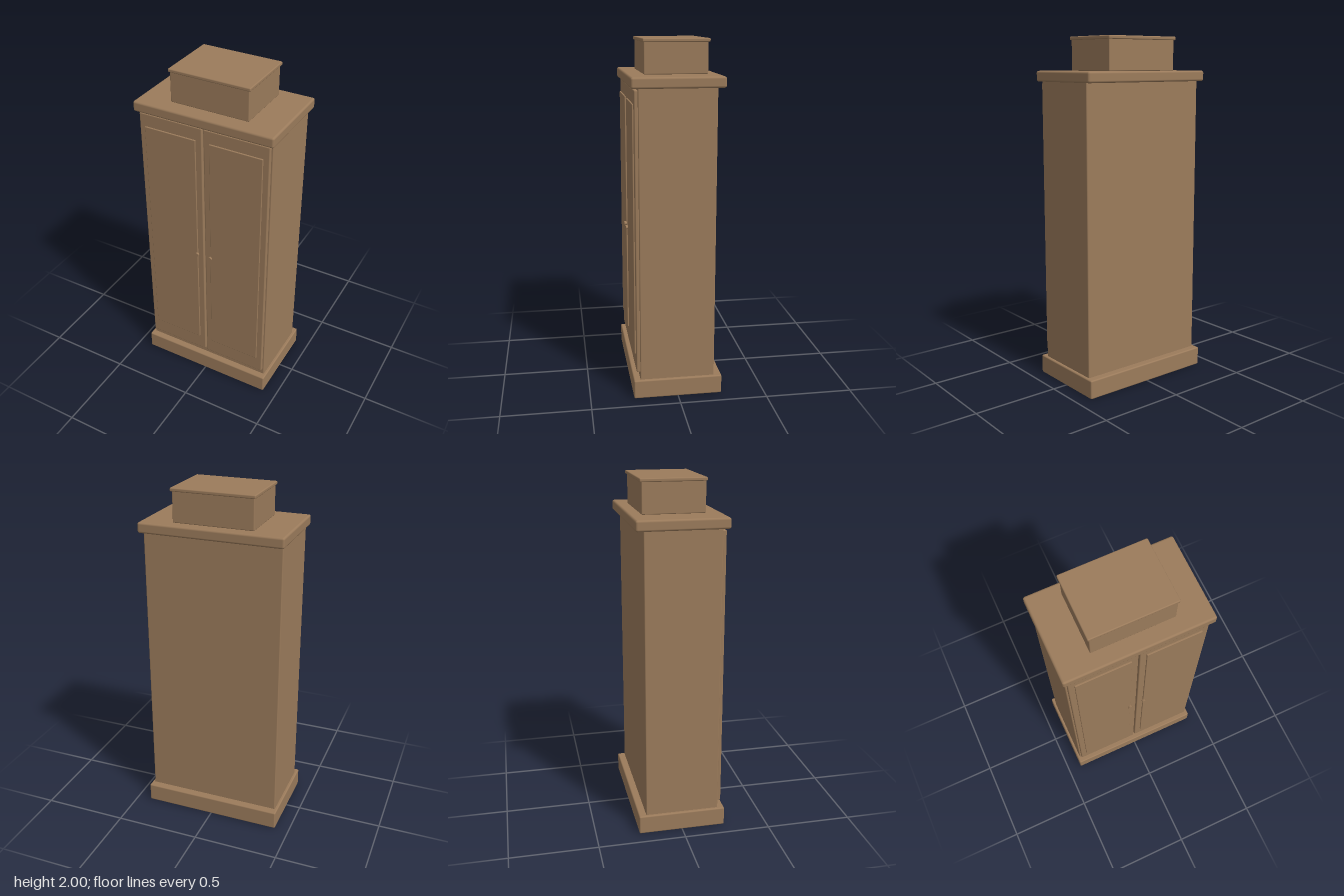
import * as THREE from 'three';
import { RoundedBoxGeometry } from 'three/addons/geometries/RoundedBoxGeometry.js';

export function createModel() {
  const group = new THREE.Group();
  const wood = new THREE.MeshStandardMaterial({ color: 0x9b7b5b });
  wood.name = 'wood';

  // Softly bevelled box given by its min and max on each axis
  function block(name, [x0, x1], [y0, y1], [z0, z1], radius, parent = group) {
    const geometry = new RoundedBoxGeometry(x1 - x0, y1 - y0, z1 - z0, 2, radius);
    const mesh = new THREE.Mesh(geometry, wood);
    mesh.name = name;
    mesh.position.set((x0 + x1) / 2, (y0 + y1) / 2, (z0 + z1) / 2);
    parent.add(mesh);
    return mesh;
  }

  // Carcass
  block('plinth', [-0.416, 0.416], [0, 0.11], [-0.253, 0.253], 0.008);
  block('body', [-0.4, 0.4], [0.1, 1.76], [-0.21, 0.215], 0.006);
  block('cornice', [-0.416, 0.416], [1.75, 1.81], [-0.253, 0.253], 0.012);

  // Pair of doors with raised panels and small knobs
  for (const side of [-1, 1]) {
    const door = new THREE.Group();
    door.name = side > 0 ? 'leftDoor' : 'rightDoor';
    const span = (a, b) => (side > 0 ? [a, b] : [-b, -a]);
    block('doorLeaf', span(0.005, 0.39), [0.15, 1.742], [0.212, 0.235], 0.006, door);
    block('doorPanel', span(0.042, 0.355), [0.25, 1.667], [0.225, 0.243], 0.003, door);
    const knob = new THREE.Mesh(new THREE.CylinderGeometry(0.013, 0.011, 0.015, 20), wood);
    knob.name = 'knob';
    knob.rotation.x = Math.PI / 2;
    knob.position.set(side * 0.044, 0.913, 0.2475);
    door.add(knob);
    group.add(door);
  }

  // Lidded box resting on top
  block('chest', [-0.232, 0.232], [1.81, 1.985], [-0.189, 0.163], 0.005);
  block('chestLid', [-0.24, 0.24], [1.98, 2], [-0.199, 0.169], 0.006);

  return group;
}
